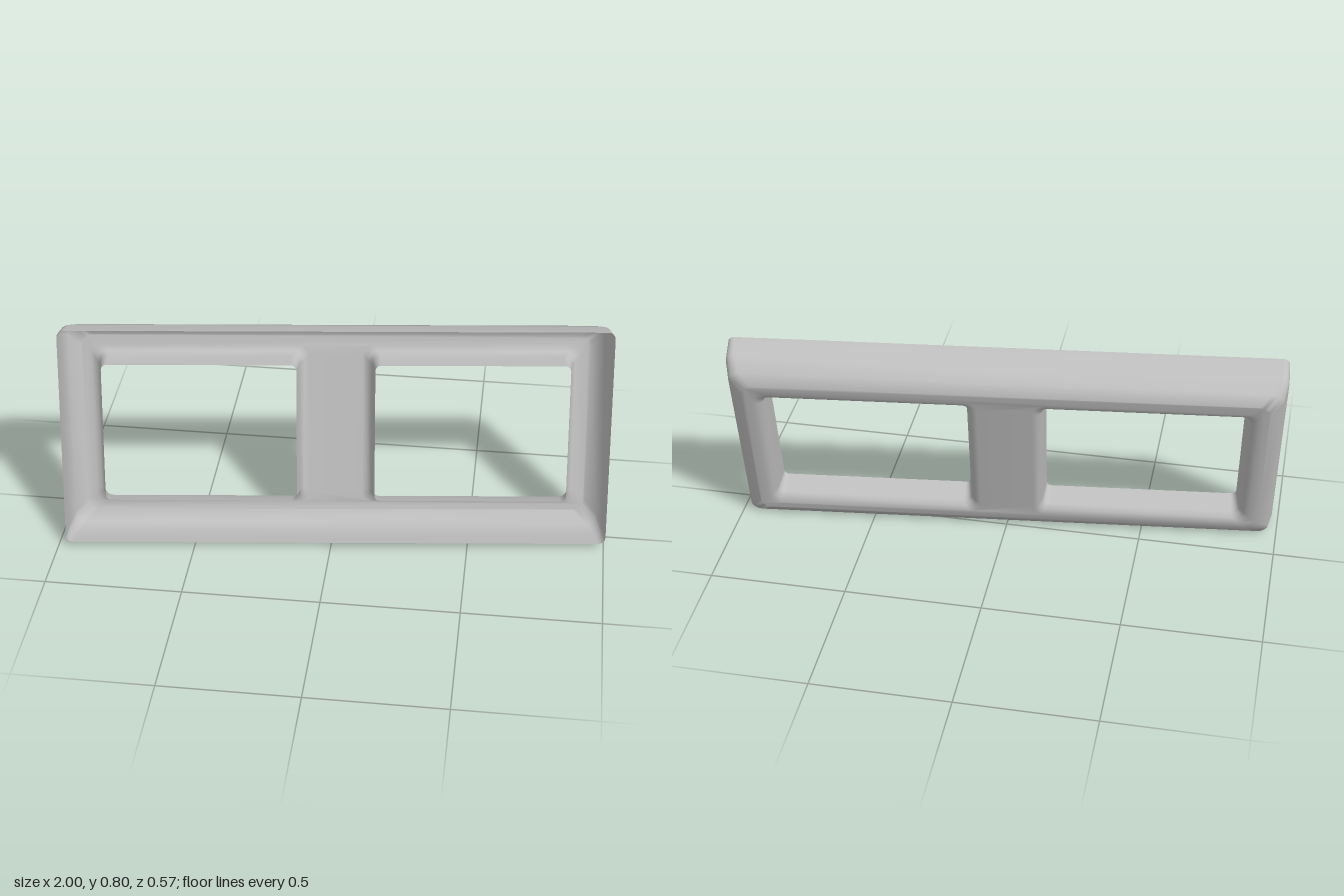
import * as THREE from 'three';
import { mergeGeometries, mergeVertices } from 'three/addons/utils/BufferGeometryUtils.js';

// Counter-clockwise rounded rectangle as a list of points at depth z
function ring(cx, cy, halfW, halfH, radius, z, steps = 4) {
  const points = [];
  const corners = [[1, 1], [-1, 1], [-1, -1], [1, -1]];
  corners.forEach(([sx, sy], q) => {
    for (let i = 0; i <= steps; i++) {
      const a = (q + i / steps) * Math.PI / 2;
      points.push(new THREE.Vector3(
        cx + sx * (halfW - radius) + radius * Math.cos(a),
        cy + sy * (halfH - radius) + radius * Math.sin(a), z));
    }
  });
  return points;
}

// Skin through a series of rings
function loft(rings) {
  const n = rings[0].length;
  const index = [];
  for (let r = 0; r < rings.length - 1; r++) {
    for (let i = 0; i < n; i++) {
      const a = r * n + i, b = r * n + (i + 1) % n;
      index.push(a, a + n, b + n, a, b + n, b);
    }
  }
  const geometry = new THREE.BufferGeometry().setFromPoints(rings.flat());
  geometry.setIndex(index);
  return geometry;
}

export function createModel() {
  const grey = new THREE.MeshStandardMaterial({ color: 0xbebebe, side: THREE.DoubleSide });
  grey.name = 'plainGrey';

  // Outer wall: open front rim curling round to the back
  const outer = [[0.18, 0, 0.025], [0.096, 0.003, 0.03], [0.027, 0.02, 0.04], [0.004, 0.064, 0.04]]
    .map(([z, inset, r]) => ring(0, 0, 0.994 - inset, 0.406 - inset, r, z));

  // Window collars: rounded back edge, then a drafted wall that stops short of the rim
  const windows = [-1, 1].map(side =>
    [[0.004, 0.045, 0.04], [0.011, 0.025, 0.035], [0.03, 0.011, 0.03], [0.108, 0, 0.02]]
      .map(([z, grow, r]) => ring(side * 0.4965, -0.005, 0.3535 + grow, 0.262 + grow, r, z)));

  // Flat back panel between the curled edges
  const shape = new THREE.Shape(outer[outer.length - 1].map(p => new THREE.Vector2(p.x, p.y)));
  windows.forEach(w => shape.holes.push(new THREE.Path(w[0].map(p => new THREE.Vector2(p.x, p.y)))));
  const back = new THREE.ShapeGeometry(shape);
  back.translate(0, 0, 0.004);
  back.deleteAttribute('normal');
  back.deleteAttribute('uv');
  const faces = back.index.array;
  for (let i = 0; i < faces.length; i += 3) {
    [faces[i + 1], faces[i + 2]] = [faces[i + 2], faces[i + 1]];
  }

  // Weld everything into one smooth thin shell
  const shell = mergeVertices(mergeGeometries([loft(outer), back, ...windows.map(loft)]), 1e-4);
  shell.computeVertexNormals();
  const bezel = new THREE.Mesh(shell, grey);
  bezel.name = 'twinWindowBezel';

  // Lean back and turn slightly
  bezel.rotation.set(-0.264, 0.11, 0, 'YXZ');
  bezel.position.set(-0.013, 0.37, -0.099);

  const model = new THREE.Group();
  model.name = 'bezelFrame';
  model.add(bezel);
  return model;
}
